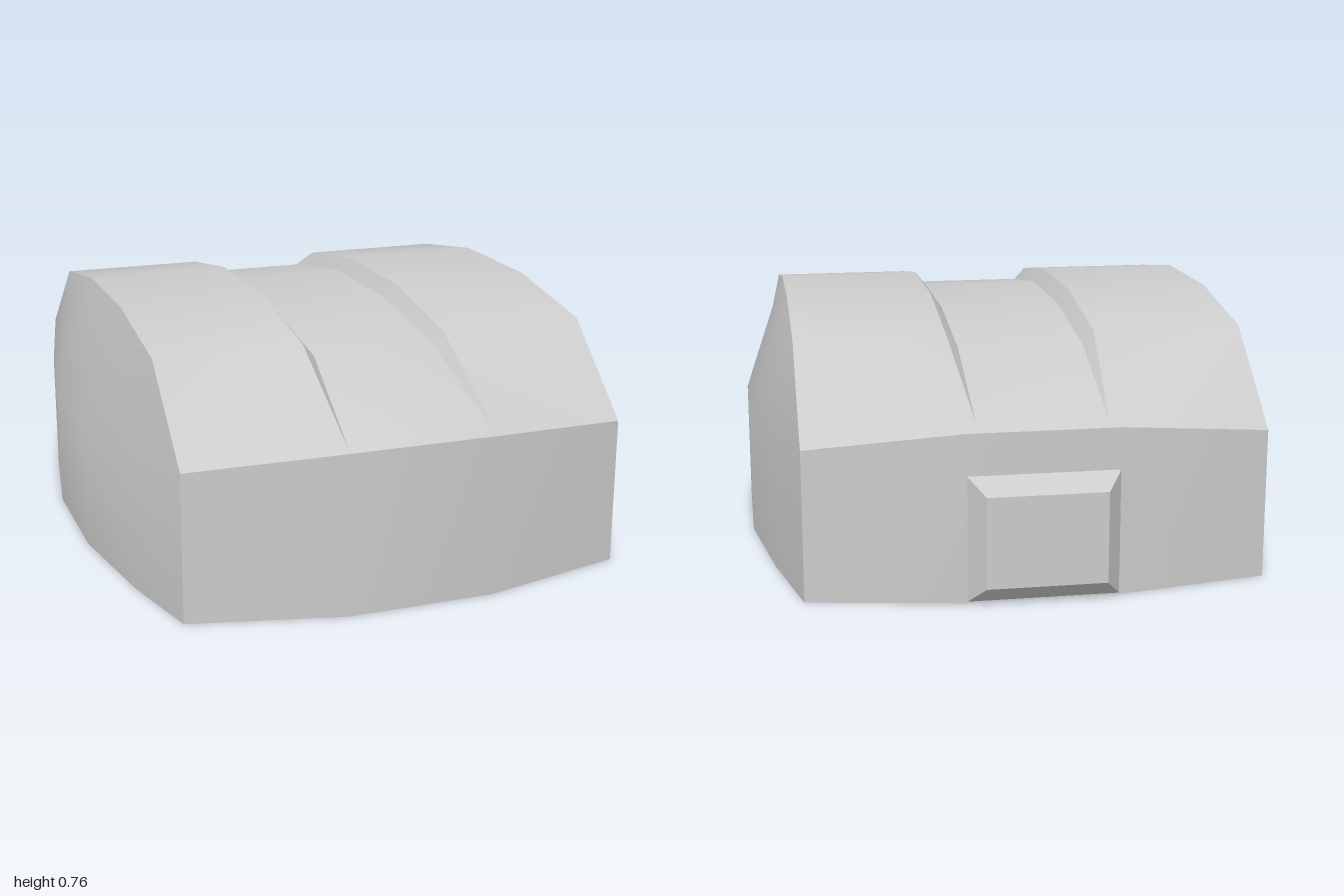
import * as THREE from 'three';
import { toCreasedNormals } from 'three/addons/utils/BufferGeometryUtils.js';

const V = (x, y, z) => new THREE.Vector3(x, y, z);
const flip = (p) => V(-p.x, p.y, p.z);

// Collects outward-facing quads, skipping collapsed triangles.
function makeSurface() {
  const pos = [];
  const tri = (a, b, c) => {
    const area = b.clone().sub(a).cross(c.clone().sub(a)).length();
    if (area > 1e-6) for (const p of [a, b, c]) pos.push(p.x, p.y, p.z);
  };
  const quad = (a, b, c, d) => { tri(a, b, c); tri(a, c, d); };
  const mesh = (name, crease) => {
    const g = new THREE.BufferGeometry();
    g.setAttribute('position', new THREE.Float32BufferAttribute(pos, 3));
    const m = new THREE.Mesh(toCreasedNormals(g, crease), new THREE.MeshStandardMaterial({ color: 0xcccccc }));
    m.name = name;
    return m;
  };
  return { tri, quad, mesh };
}

function makeBody() {
  const s = makeSurface();
  // Stations front to back: half width, shoulder height, side z, top height,
  // rim height and z, channel floor height and z
  const stations = [
    [0.68, 0.45, 0.89, 0.45, 0.49, 1.0, 0.52, 0.96],
    [0.75, 0.39, 0.61, 0.70, 0.70, 0.61, 0.66, 0.61],
    [0.81, 0.38, 0.23, 0.76, 0.76, 0.23, 0.715, 0.23],
    [0.81, 0.38, -0.18, 0.76, 0.76, -0.18, 0.715, -0.18],
    [0.75, 0.39, -0.55, 0.70, 0.70, -0.55, 0.66, -0.55],
    [0.68, 0.45, -0.86, 0.45, 0.50, -0.94, 0.52, -0.90],
  ];
  const rings = stations.map(([w, my, z, ty, ry, rz, fy, fz]) => {
    const half = [V(w, 0, z), V(w, my, z), V(0.68, ty, z), V(0.225, ry, rz), V(0.19, fy, fz)];
    return [...half, ...half.map(flip).reverse()];
  });

  // Sides, roof and sunken channel
  for (let i = 0; i < rings.length - 1; i++) {
    const a = rings[i], b = rings[i + 1];
    for (let j = 0; j < a.length - 1; j++) {
      if (j < 4) s.quad(a[j], b[j], b[j + 1], a[j + 1]);
      else s.quad(b[j], b[j + 1], a[j + 1], a[j]);
    }
  }

  // End walls of three panels, with the small lip closing the channel
  const ends = [rings[0], rings[rings.length - 1]].map((r, k) => {
    const face = (a, b, c, d) => (k === 0 ? s.quad(a, b, c, d) : s.quad(d, c, b, a));
    const foot = V(r[3].x, 0, r[3].z), foot2 = flip(foot);
    face(foot, r[0], r[2], r[3]);
    face(foot2, foot, r[3], r[6]);
    face(r[9], foot2, r[6], r[7]);
    face(r[6], r[3], r[4], r[5]);
    return [foot, foot2];
  });

  // Flat underside
  const outline = [
    ...rings.map((r) => r[0]), ...ends[1],
    ...rings.map((r) => r[9]).reverse(), ends[0][1], ends[0][0],
  ];
  const centre = V(0, 0, 0);
  outline.forEach((p, i) => s.tri(centre, outline[(i + 1) % outline.length], p));

  return s.mesh('body', 0.7);
}

// Bevelled block on the rear wall
function makeRearBlock() {
  const s = makeSurface();
  const rect = (w, y0, y1, z) => [V(w, y0, z), V(-w, y0, z), V(-w, y1, z), V(w, y1, z)];
  const inner = rect(0.225, 0, 0.38, -0.935);
  const outer = rect(0.175, 0.06, 0.33, -1.0);
  s.quad(...outer);
  for (let i = 0; i < 4; i++) {
    const j = (i + 1) % 4;
    s.quad(inner[i], inner[j], outer[j], outer[i]);
  }
  return s.mesh('rearBlock', 0.3);
}

export function createModel() {
  const model = new THREE.Group();
  model.name = 'model';
  model.add(makeBody(), makeRearBlock());
  return model;
}
